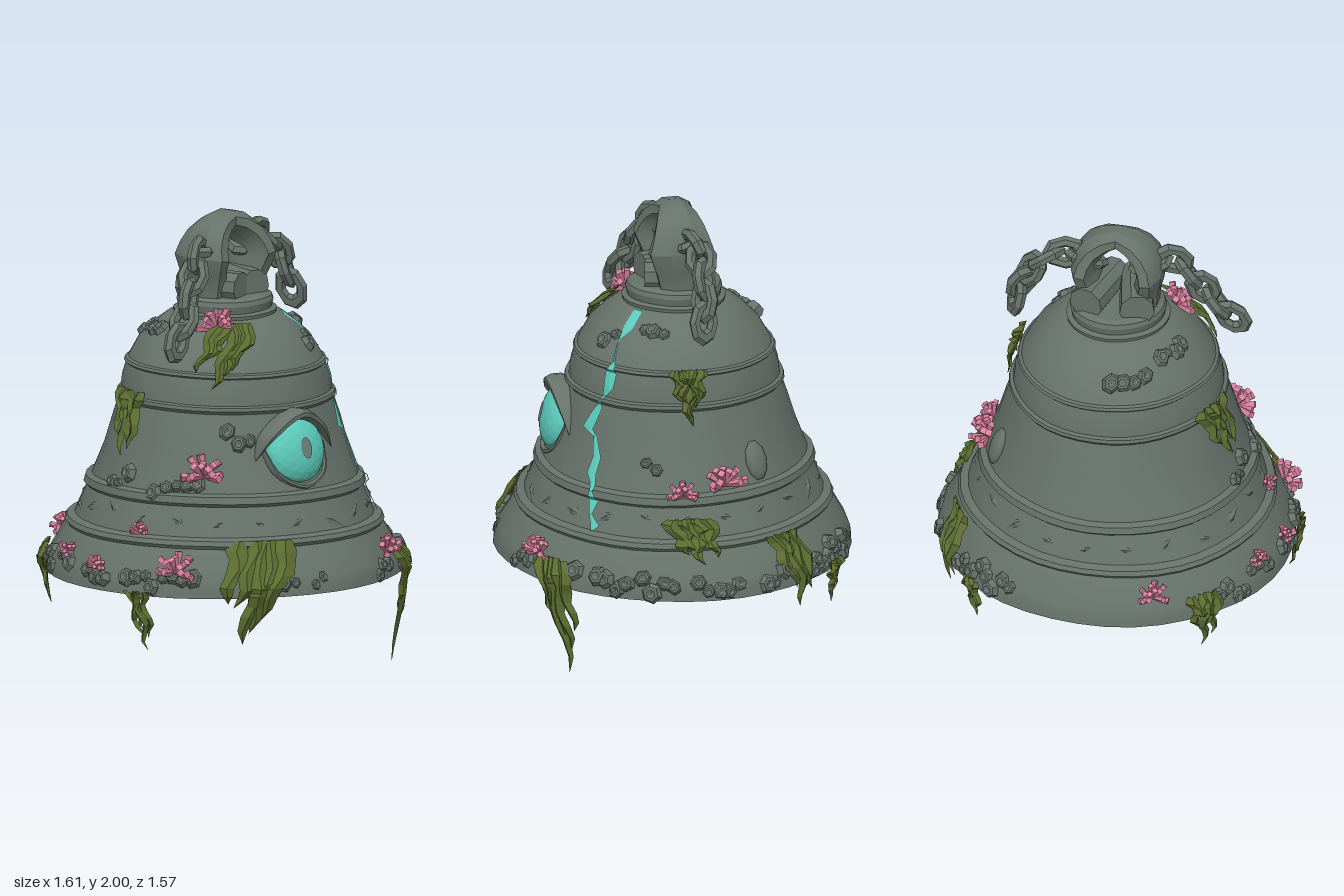
import * as THREE from 'three';
import { toCreasedNormals } from 'three/addons/utils/BufferGeometryUtils.js';

const mat = (name, color, flatShading = true, side = THREE.FrontSide) =>
  Object.assign(new THREE.MeshStandardMaterial({ color, flatShading, side }), { name });
const V = (x, y, z) => new THREE.Vector3(x, y, z);
const rad = THREE.MathUtils.degToRad;

// Outer bell profile [radius, height], with raised rings
const OUTER = [[.74, .405], [.785, .41], [.78, .45], [.765, .49], [.74, .53], [.715, .575], [.69, .61],
  [.7, .625], [.69, .645], [.655, .655], [.628, .72], [.602, .78], [.618, .795], [.61, .825], [.582, .835],
  [.535, .96], [.5, 1.08], [.47, 1.17], [.482, 1.185], [.478, 1.2], [.462, 1.206], [.455, 1.26], [.436, 1.32],
  [.444, 1.328], [.438, 1.34], [.425, 1.346], [.378, 1.43], [.312, 1.495], [.25, 1.54]];
const INNER = [[0, .8], [.4, .79], [.5, .74], [.63, .6]];
const COLLAR = [[.225, 1.545], [.228, 1.56], [.205, 1.568], [.212, 1.6], [.205, 1.62], [.185, 1.632], [0, 1.636]];

function radiusAt(y) {
  for (let i = 1; i < OUTER.length; i++) {
    const [r0, y0] = OUTER[i - 1], [r1, y1] = OUTER[i];
    if (y <= y1) return THREE.MathUtils.lerp(r0, r1, Math.max(0, (y - y0) / (y1 - y0)));
  }
  return .24;
}

// Places an object on the bell: y axis points out of the surface, -z points up along it
function put(obj, a, y, off = 0) {
  const slope = (radiusAt(y + .05) - radiusAt(Math.max(.43, y - .05))) / .1;
  const n = V(Math.sin(a), -slope, Math.cos(a)).normalize(), t = V(Math.cos(a), 0, -Math.sin(a));
  obj.quaternion.setFromRotationMatrix(new THREE.Matrix4().makeBasis(t, n, t.clone().cross(n)));
  const r = radiusAt(y);
  obj.position.set(r * Math.sin(a), y, r * Math.cos(a)).addScaledVector(n, off);
  return obj;
}

function indexed(pos, idx) {
  const g = new THREE.BufferGeometry();
  g.setAttribute('position', new THREE.Float32BufferAttribute(pos, 3));
  g.setIndex(idx);
  g.computeVertexNormals();
  return g;
}

// Ridged ribbon wrapped round the axis; rows are [angle, radius, y, halfWidth, ridge]
function ribbon(rows) {
  const pos = [], idx = [];
  rows.forEach(([a, r, y, w, ridge], i) => {
    for (const s of [-1, 0, 1]) {
      const b = a + s * w / r, q = s ? r : r + ridge;
      pos.push(q * Math.sin(b), y, q * Math.cos(b));
    }
    if (i) for (let j = 0; j < 2; j++) {
      const p = (i - 1) * 3 + j;
      idx.push(p, p + 3, p + 4, p, p + 4, p + 1);
    }
  });
  return indexed(pos, idx);
}

// Sweeps an ellipse along points; halves are [in plane, along z] per point
function sweep(points, halves, sides = 8, steps = 14) {
  const curve = new THREE.CatmullRomCurve3(points), pos = [], idx = [], z = V(0, 0, 1);
  for (let i = 0; i <= steps; i++) {
    const u = i / steps, f = u * (halves.length - 1), k = Math.min(halves.length - 2, Math.floor(f));
    const [A, B] = [0, 1].map(c => THREE.MathUtils.lerp(halves[k][c], halves[k + 1][c], f - k));
    const c = curve.getPoint(u), n = z.clone().cross(curve.getTangent(u)).normalize();
    for (let j = 0; j < sides; j++) {
      const th = (j + .5) / sides * Math.PI * 2;
      const p = c.clone().addScaledVector(n, A * Math.cos(th)).addScaledVector(z, B * Math.sin(th));
      pos.push(p.x, p.y, p.z);
      if (i) {
        const e = (i - 1) * sides, m = (j + 1) % sides;
        idx.push(e + j, e + m, e + sides + m, e + j, e + sides + m, e + sides + j);
      }
    }
  }
  return indexed(pos, idx);
}

export function createModel() {
  const root = new THREE.Group();
  root.name = 'sunkenBell';
  let seed = 7;
  const rnd = (lo = 0, hi = 1) => lo + (hi - lo) * ((seed = (seed * 16807) % 2147483647) / 2147483647);

  const stone = mat('weathered metal', 0x66726a, false);
  const shell = mat('barnacle grey', 0x66716b);
  const glow = mat('teal glow', 0x5ccabb, true, THREE.DoubleSide);
  const pupilMat = mat('pupil grey', 0x6c7f79);
  const moss = mat('moss green', 0x5c6c30, true, THREE.DoubleSide);
  const pink = mat('coral pink', 0xd9809f);
  const add = (name, geo, m, parent = root) => {
    const mesh = new THREE.Mesh(geo, m);
    mesh.name = name;
    parent.add(mesh);
    return mesh;
  };
  const group = name => { const g = new THREE.Group(); g.name = name; root.add(g); return g; };
  const crease = g => toCreasedNormals(g, .45);

  // Bell body with a shallow cavity, slightly dented
  const body = new THREE.LatheGeometry([...INNER, ...OUTER, ...COLLAR].map(p => new THREE.Vector2(...p)), 40);
  const bp = body.attributes.position;
  for (let i = 0; i < bp.count; i++) {
    const x = bp.getX(i), y = bp.getY(i), z = bp.getZ(i), a = Math.atan2(x, z);
    const k = 1 + .006 * Math.sin(3 * a + 5 * y) + .004 * Math.sin(7 * a - 9 * y);
    bp.setXYZ(i, x * k, y + .004 * Math.sin(2 * a + 4 * y), z * k);
  }
  add('bellBody', crease(body), stone);

  // Worn relief strokes on the lower band
  const band = group('carvedBand');
  for (let i = 0; i < 22; i++) {
    const holder = put(new THREE.Group(), i / 22 * Math.PI * 2, .72 + rnd(-.025, .025));
    const stroke = add('carvedStroke', new THREE.ConeGeometry(1, 1, 4), stone, holder);
    stroke.scale.set(rnd(.06, .09), .022, .024);
    stroke.rotation.y = (i % 2 ? .5 : -.35) + rnd(-.3, .3);
    band.add(holder);
  }

  // Crown arch with scrolls at its foot
  const half = [[-.125, 1.6], [-.128, 1.7], [-.148, 1.8], [-.105, 1.9]];
  const archPts = [...half, [0, 1.952], ...half.map(([x, y]) => [-x, y]).reverse()].map(([x, y]) => V(x, y, 0));
  const legs = [[.055, .09], [.06, .115], [.06, .155], [.056, .115]];
  add('crownArch', crease(sweep(archPts, [...legs, [.048, .07], ...[...legs].reverse()], 8, 16)), stone);
  for (const s of [-1, 1]) {
    const scroll = add('crownScroll', crease(new THREE.CylinderGeometry(.07, .078, .29, 9)), stone);
    scroll.rotation.set(Math.PI / 2, 0, s * .25);
    scroll.position.set(s * .08, 1.67, 0);
  }

  // Broken chains hanging from the crown
  const linkGeo = crease(new THREE.TorusGeometry(.05, .025, 6, 8));
  const chains = {
    rightChain: [[-.14, 1.82, .02], [-.22, 1.84, .05], [-.32, 1.71, .1], [-.41, 1.57, .14], [-.475, 1.49, .16]],
    leftChain: [[.14, 1.83, -.02], [.23, 1.86, -.04], [.34, 1.8, -.05], [.42, 1.68, -.04], [.45, 1.58, -.03]],
  };
  for (const [name, pts] of Object.entries(chains)) {
    const g = group(name), curve = new THREE.CatmullRomCurve3(pts.map(p => V(...p)));
    for (let i = 0; i < 6; i++) {
      const link = add('chainLink', linkGeo, stone, g);
      link.position.copy(curve.getPointAt(i / 5));
      link.quaternion.setFromUnitVectors(V(0, 1, 0), curve.getTangentAt(i / 5));
      link.rotateY(.5 + (i % 2 ? 0 : Math.PI / 2));
      link.scale.set(1, 1.4, 1);
    }
  }

  // Eye with lids
  const eye = group('eye');
  eye.position.set(-.08, 1, .492);
  eye.rotation.set(-.25, -.1, 0);
  add('eyeball', new THREE.IcosahedronGeometry(1, 3), glow, eye).scale.set(.155, .155, .086);
  const pupil = add('pupil', new THREE.CircleGeometry(.03, 10), pupilMat, eye);
  pupil.scale.y = 1.6;
  pupil.position.z = .088;
  add('upperLid', crease(sweep([V(-.28, .97, .44), V(-.235, 1.08, .48), V(-.08, 1.165, .5), V(.07, 1.09, .49), V(.155, .97, .49)],
    [[.002, .01], [.022, .05], [.026, .06], [.022, .05], [.002, .01]])), stone);
  add('lowerLid', crease(sweep([V(-.25, 1.02, .46), V(-.21, .91, .51), V(-.08, .848, .55), V(.05, .9, .53), V(.09, 1.02, .49)],
    [[.004, .02], [.014, .03], [.016, .03], [.014, .03], [.004, .02]])), stone);

  // Glowing crack: [degrees, y, half width]
  const crack = [[38, 1.55, .022], [39, 1.49, .024], [37, 1.45, .004], [39, 1.36, .006], [39, 1.31, .03], [39, 1.25, .026],
    [36, 1.2, .004], [33, 1.13, .024], [30, 1.06, .032], [36, 1.03, .012], [39, .95, .022], [38, .88, .025],
    [41, .82, .008], [42, .78, .025], [42, .72, .008], [45, .68, .022], [44, .65, .002]];
  const crackRows = [];
  for (let i = 1; i < crack.length; i++) for (let k = 0; k < 5; k++) {
    const [a, y, w] = crack[i - 1].map((v, c) => THREE.MathUtils.lerp(v, crack[i][c], k / 5));
    crackRows.push([rad(a), radiusAt(y) + .009, y, w, .002]);
  }
  add('glowingCrack', ribbon(crackRows), glow);

  // Clapper
  add('clapperBall', new THREE.IcosahedronGeometry(.132, 2), glow).position.y = .402;
  add('clapperStem', crease(new THREE.CylinderGeometry(.062, .05, .32, 8)), stone).position.y = .65;

  // Small raised arch on the side
  put(add('sideBoss', new THREE.SphereGeometry(1, 10, 8), stone), rad(118), .93, 0).scale.set(.055, .03, .09);

  // Hanging moss: [degrees, top y, end y, clump width, sideways drift in degrees]
  const shape = [.55, 1, .8, 1, .7, .65, .4, 0];
  for (const [deg, top, end, width, drift] of [[-38, 1.54, 1.28, .15, -16], [85, 1.36, 1.12, .12, 0], [-108, 1.24, .96, .18, 5],
    [-32, .65, .2, .24, -9], [-76, .43, .16, .08, 3], [33, .53, 0, .16, 6], [83, .74, .56, .19, 4], [119, .64, .3, .15, 4],
    [-138, .52, .24, .12, 0], [139, .46, .25, .08, 0]]) {
    const g = group('moss');
    for (let k = 0; k < 5; k++) {
      const len = (top - end) * (k ? rnd(.5, .9) : 1), ph = rnd(0, 6), w = width * rnd(.2, .27);
      const spread = k ? (k - 2.5) / 3.6 * width / radiusAt(top) : 0;
      const rows = shape.map((s, i) => {
        const t = i / 7, y = top - len * t, r = y < .42 ? .785 - (.42 - y) * .15 : radiusAt(y) + .015;
        const a = rad(deg + drift * t) + spread * (1 - .35 * t) + Math.sin(ph + i * 1.5) * .015 / r;
        return [a, r + rnd(0, .012), y, w * s, .022 * (s + .1)];
      });
      add('mossFrond', ribbon(rows), moss, g);
    }
  }

  // Coral fans: [x, z, y, size]
  const branch = new THREE.CylinderGeometry(.17, .07, 1, 4).translate(0, .5, 0);
  for (const [x, z, y, size] of [[-.32, -.69, .53, .085], [-.72, -.3, .52, .07], [-.74, -.05, .5, .07], [-.7, .11, .66, .06],
    [-.67, .34, .51, .11], [-.46, .31, .91, .115], [-.23, .17, 1.52, .105], [.53, -.09, .86, .115], [.57, .09, .83, .085], [.31, .67, .52, .095]]) {
    const g = put(group('coral'), Math.atan2(x, z), y, -.005);
    for (let i = 0; i < 15; i++) {
      const f = -1.7 + (i % 5) * .85 + rnd(-.2, .2), lift = [.35, .8, 1.7][Math.floor(i / 5)];
      const b = add('coralBranch', branch, pink, g);
      b.quaternion.setFromUnitVectors(V(0, 1, 0), V(Math.sin(f), lift, -Math.cos(f)).normalize());
      b.scale.set(size, size * rnd(.6, .95), size);
    }
  }

  // Barnacle clusters: [degrees, y, count]
  const cup = new THREE.LatheGeometry([[1, -.3], [1.05, .3], [.75, .9], [.45, .95], [0, .7]].map(p => new THREE.Vector2(...p)), 6);
  for (const [deg, y, count] of [[151, .48, 3], [139, .48, 4], [128, .47, 3], [112, .47, 3], [92, .47, 5], [72, .47, 4],
    [56, .47, 4], [38, .47, 3], [17, .46, 3], [-14, .46, 2], [-28, .47, 4], [-62, .47, 4], [-76, .47, 4], [-94, .48, 3],
    [-113, .5, 3], [-127, .47, 4], [-68, .86, 5], [-40, 1.07, 3], [61, 1.46, 3], [-120, 1.46, 4], [-160, 1.46, 4],
    [67, .95, 2], [28, 1.44, 2], [-100, .86, 3]]) {
    const g = group('barnacles');
    for (let i = 0; i < count; i++) {
      const s = rnd(.027, .046), r = radiusAt(y);
      const b = put(add('barnacle', cup, shell, g), rad(deg) + (i - (count - 1) / 2) * .048 / r + rnd(-.01, .01), y + rnd(-.03, .035), -.012);
      b.rotation.z += rnd(-.2, .2);
      b.rotateY(rnd(0, 3));
      b.scale.set(s, s * rnd(.75, 1), s * rnd(.8, 1));
    }
  }
  return root;
}
